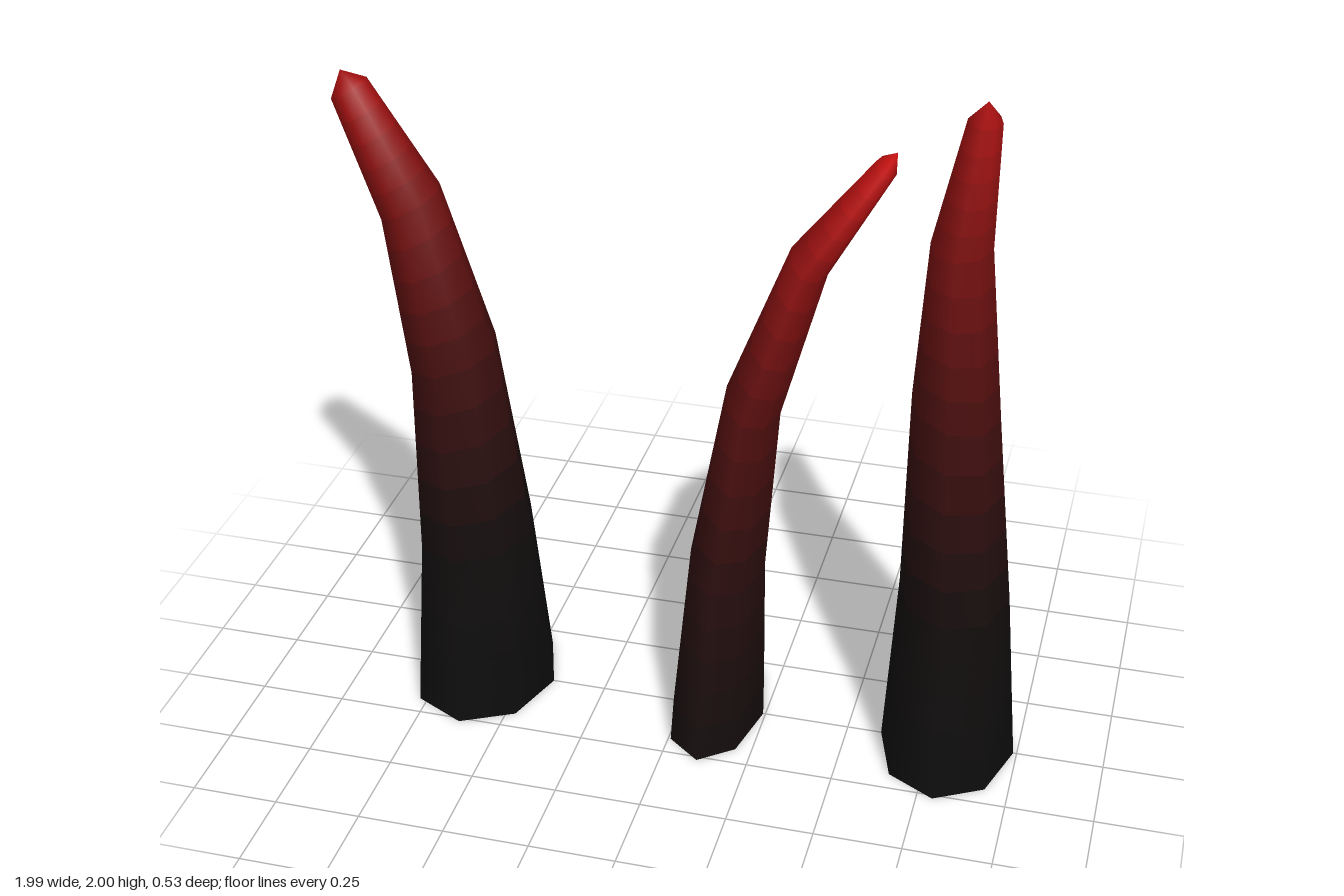
import * as THREE from 'three';

const SIDES = 8;
const BANDS = 5; // colour bands per horn segment

// Front-to-back centre and radius of each ring, shared by all horns
const DEPTH = [[0, 0.265], [0, 0.21], [-0.005, 0.16], [-0.018, 0.115], [-0.03, 0.066]];

// Each ring: left x, left y, right x, right y. fade: redness at each ring and the tip
const HORNS = [
  {
    name: 'rightHorn', tip: [-0.972, 1.91, -0.033],
    rings: [[-0.835, 0, -0.41, 0], [-0.8, 0.52, -0.465, 0.53], [-0.8, 1.07, -0.555, 1.12],
      [-0.865, 1.51, -0.705, 1.585], [-0.997, 1.837, -0.9, 1.885]],
    fade: [0, 0.02, 0.27, 0.55, 0.8, 0.85],
  },
  {
    name: 'middleHorn', tip: [0.56, 1.835, -0.033],
    rings: [[-0.033, 0, 0.243, 0], [0.02, 0.55, 0.238, 0.52], [0.12, 1.1, 0.273, 1.035],
      [0.29, 1.54, 0.39, 1.47], [0.505, 1.807, 0.56, 1.775]],
    fade: [0.03, 0.14, 0.38, 0.7, 0.98, 1],
  },
  {
    name: 'leftHorn', tip: [0.785, 2, -0.033],
    rings: [[0.6, 0, 0.99, 0], [0.63, 0.55, 0.943, 0.53], [0.635, 1.15, 0.88, 1.1],
      [0.66, 1.6, 0.826, 1.6], [0.735, 1.95, 0.826, 1.945]],
    fade: [0, 0.03, 0.29, 0.56, 0.8, 0.85],
  },
];

const DARK = [0.05, 0.05, 0.05];
const RED = [0.8, 0.07, 0.07];

function fadeMaterial(t) {
  const [r, g, b] = DARK.map((d, i) => THREE.MathUtils.lerp(d, RED[i], t));
  const color = new THREE.Color().setRGB(r, g, b, THREE.SRGBColorSpace);
  return new THREE.MeshStandardMaterial({ color, side: THREE.DoubleSide });
}

// Faces between consecutive rings of SIDES points
function stripIndex(rows) {
  const index = [];
  for (let i = 0; i < rows - 1; i++) {
    for (let j = 0; j < SIDES; j++) {
      const a = i * SIDES + j, b = i * SIDES + (j + 1) % SIDES;
      index.push(a, a + SIDES, b, b, a + SIDES, b + SIDES);
    }
  }
  return index;
}

// Smooth eight-sided skin: slanted oval rings closed by one tip point
function hornSkin({ rings, tip }) {
  const positions = [];
  rings.forEach(([lx, ly, rx, ry], i) => {
    const [zc, rz] = DEPTH[i];
    for (let j = 0; j < SIDES; j++) {
      const a = (j / SIDES) * Math.PI * 2, c = Math.cos(a) / 2;
      positions.push((lx + rx) / 2 + (rx - lx) * c, (ly + ry) / 2 + (ry - ly) * c, zc + rz * Math.sin(a));
    }
  });
  positions.push(...tip);
  const index = stripIndex(rings.length);
  const last = (rings.length - 1) * SIDES, tipId = rings.length * SIDES;
  for (let j = 0; j < SIDES; j++) index.push(last + j, tipId, last + (j + 1) % SIDES);
  const skin = new THREE.BufferGeometry();
  skin.setAttribute('position', new THREE.Float32BufferAttribute(positions, 3));
  skin.setIndex(index);
  skin.computeVertexNormals();
  return skin;
}

// A slice of one segment, keeping the smooth normals of the whole skin
function bandGeometry(skin, segment, t0, t1) {
  const band = new THREE.BufferGeometry();
  const tipId = skin.attributes.position.count - 1;
  for (const key of ['position', 'normal']) {
    const source = skin.attributes[key], values = [];
    const p = new THREE.Vector3(), q = new THREE.Vector3();
    for (const t of [t0, t1]) {
      for (let j = 0; j < SIDES; j++) {
        p.fromBufferAttribute(source, segment * SIDES + j);
        q.fromBufferAttribute(source, Math.min((segment + 1) * SIDES + j, tipId));
        p.lerp(q, t);
        if (key === 'normal') p.normalize();
        values.push(p.x, p.y, p.z);
      }
    }
    band.setAttribute(key, new THREE.Float32BufferAttribute(values, 3));
  }
  band.setIndex(stripIndex(2));
  return band;
}

function createHorn(horn) {
  const group = new THREE.Group();
  group.name = horn.name;
  const skin = hornSkin(horn);
  for (let s = 0; s < horn.rings.length; s++) {
    const bands = s === horn.rings.length - 1 ? 1 : BANDS;
    for (let k = 0; k < bands; k++) {
      const shade = THREE.MathUtils.lerp(horn.fade[s], horn.fade[s + 1], (k + 0.5) / bands);
      const mesh = new THREE.Mesh(bandGeometry(skin, s, k / bands, (k + 1) / bands), fadeMaterial(shade));
      mesh.name = s === horn.rings.length - 1 ? 'hornTip' : 'hornBand';
      group.add(mesh);
    }
  }
  return group;
}

export function createModel() {
  const model = new THREE.Group();
  model.name = 'horns';
  HORNS.forEach((horn) => model.add(createHorn(horn)));
  return model;
}
